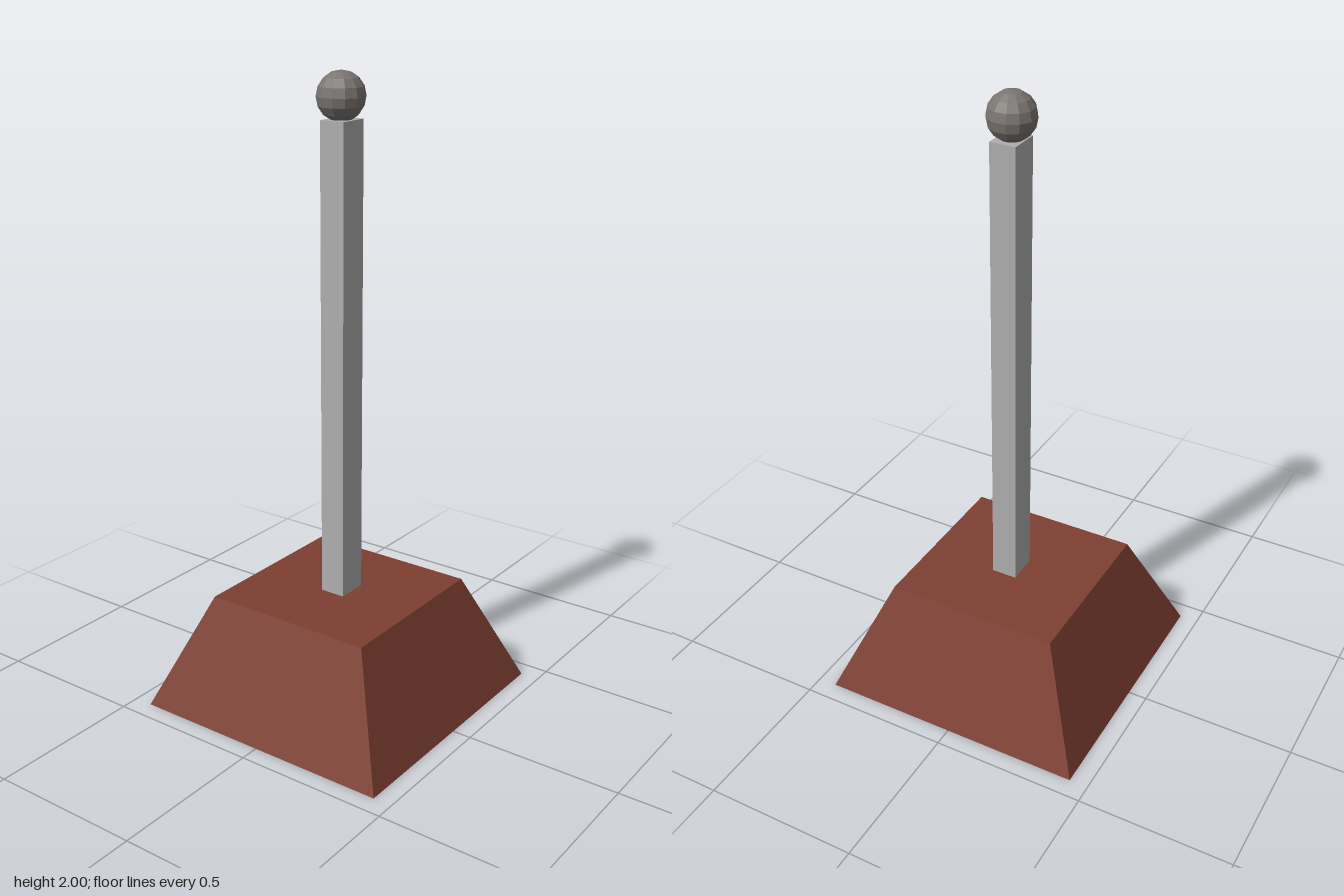
import * as THREE from 'three';

export function createModel() {
  const group = new THREE.Group();
  const material = (name, color) => {
    const m = new THREE.MeshStandardMaterial({ color });
    m.name = name;
    return m;
  };
  const add = (name, geometry, mat, x, y, z) => {
    const mesh = new THREE.Mesh(geometry.toNonIndexed(), mat);
    mesh.geometry.computeVertexNormals(); // faceted
    mesh.name = name;
    mesh.position.set(x, y, z);
    group.add(mesh);
  };

  const brown = material('red brown', 0x7d3f31);
  const grey = material('light grey', 0xaeaeae);
  const darkGrey = material('dark warm grey', 0x7a7571);

  // Square tapered base: four-sided frustum turned so its faces meet the axes
  const base = new THREE.CylinderGeometry(0.284 * Math.SQRT2, 0.439 * Math.SQRT2, 0.37, 4);
  base.rotateY(Math.PI / 4);
  add('base', base, brown, 0, 0.185, 0);

  // Rectangular post
  add('post', new THREE.BoxGeometry(0.1, 1.49, 0.083), grey, 0.005, 1.115, 0.004);

  // Faceted ball on top
  const ball = new THREE.SphereGeometry(0.074, 12, 8);
  ball.rotateY(Math.PI / 12);
  add('ball', ball, darkGrey, 0.004, 1.926, 0.002);

  return group;
}
